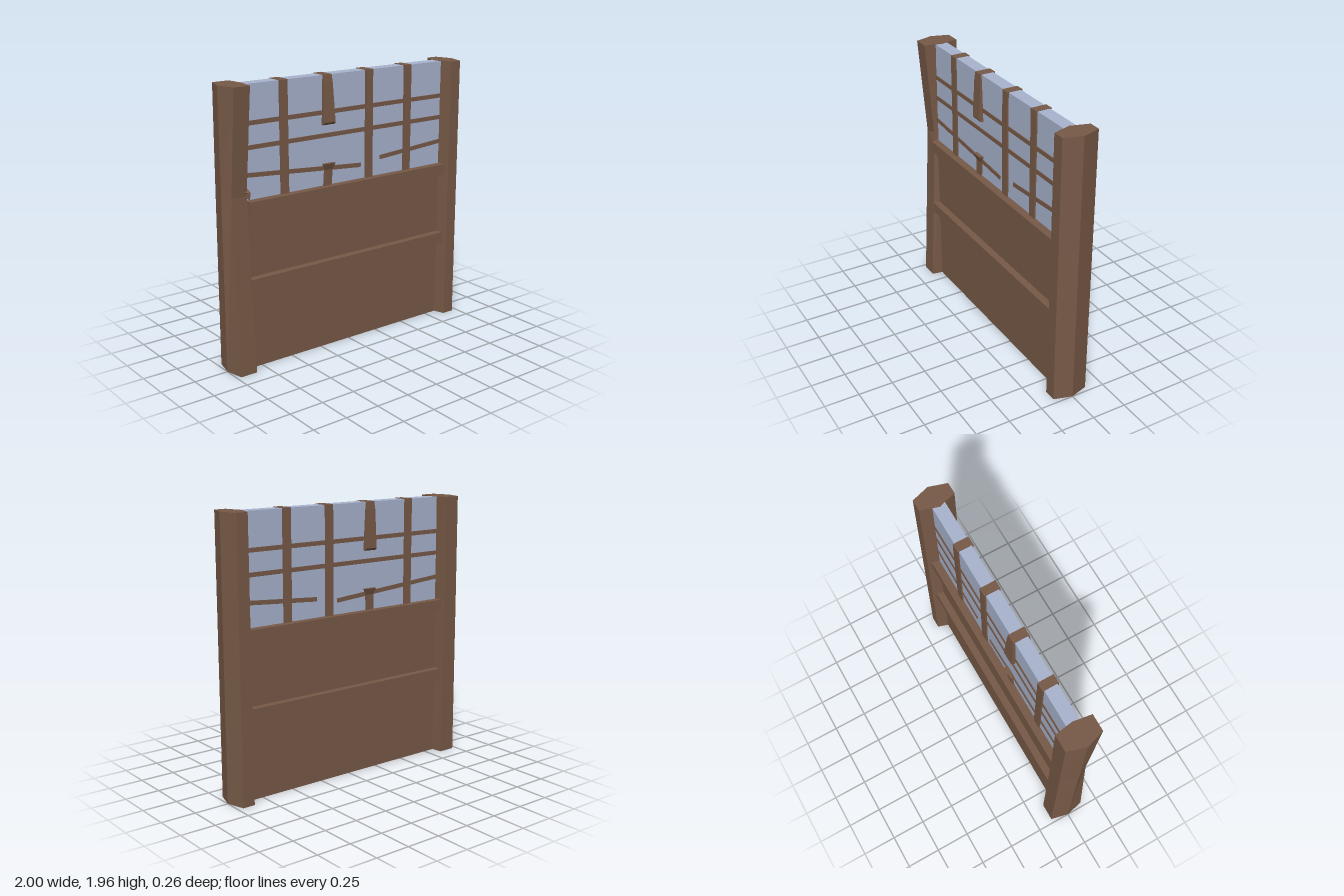
import * as THREE from 'three';

const wood = new THREE.MeshStandardMaterial({ color: 0x785a47, side: THREE.DoubleSide });
wood.name = 'brown wood';
const glass = new THREE.MeshStandardMaterial({ color: 0xa9b4cf });
glass.name = 'pale blue glass';

const TOP = 1.955;

// Joins rings of [x, y, z] points, bottom to top; caps the top and optionally the bottom.
function loft(rings, capBottom) {
  const pos = [];
  const tri = (...pts) => pts.forEach((p) => pos.push(...p));
  const n = rings[0].length;
  for (let r = 0; r + 1 < rings.length; r++) {
    const a = rings[r], b = rings[r + 1];
    for (let i = 0; i < n; i++) {
      const j = (i + 1) % n;
      tri(a[i], a[j], b[j]);
      tri(a[i], b[j], b[i]);
    }
  }
  const first = rings[0], last = rings[rings.length - 1];
  for (let i = 1; i + 1 < n; i++) {
    tri(last[0], last[i], last[i + 1]);
    if (capBottom) tri(first[0], first[i + 1], first[i]);
  }
  const g = new THREE.BufferGeometry();
  g.setAttribute('position', new THREE.Float32BufferAttribute(pos, 3));
  g.computeVertexNormals();
  return g;
}

// Six-sided post section, pointed on both sides in x.
const hexRing = (y, x0, x1, x2, x3, front = 0.13) => [
  [x0, y, 0], [x1, y, front], [x2, y, front], [x3, y, 0], [x2, y, -0.13], [x1, y, -0.13],
];

// Rectangular section.
const rectRing = (y, x0, x1, z) => [[x0, y, z], [x1, y, z], [x1, y, -z], [x0, y, -z]];

export function createModel() {
  const model = new THREE.Group();
  const add = (name, geometry, material = wood) => {
    const mesh = new THREE.Mesh(geometry, material);
    mesh.name = name;
    model.add(mesh);
    return mesh;
  };
  const box = (name, x0, x1, y0, y1, z, material) => {
    const m = add(name, new THREE.BoxGeometry(x1 - x0, y1 - y0, z * 2), material);
    m.position.set((x0 + x1) / 2, (y0 + y1) / 2, 0);
    return m;
  };

  // Posts, hollow below; one is dented at the front
  add('leftPost', loft([
    hexRing(0, 0.83, 0.87, 0.96, 1),
    hexRing(TOP, 0.835, 0.875, 0.96, 1),
  ]));
  add('dentedRightPost', loft([
    hexRing(0, -1, -0.97, -0.845, -0.825),
    hexRing(1.23, -1, -0.965, -0.85, -0.825, 0.07),
    hexRing(TOP, -1, -0.96, -0.84, -0.82),
  ]));

  // Splinter sticking out of the dent
  add('splinter', loft([
    [[-0.87, 1.24, 0.05], [-0.845, 1.2, 0.1], [-0.83, 1.21, 0.05]],
    [[-0.885, 1.25, 0.06], [-0.845, 1.26, 0.11], [-0.83, 1.27, 0.05]],
  ], true));

  // Lower wall with its two rails
  add('lowerPanel', loft([rectRing(0, -0.84, 0.86, 0.05), rectRing(1.15, -0.84, 0.86, 0.05)]));
  box('middleRail', -0.84, 0.865, 0.577, 0.657, 0.102);
  box('topRail', -0.84, 0.865, 1.11, 1.19, 0.102);

  // Window
  box('windowPane', -0.83, 0.85, 1.18, TOP - 0.003, 0.046, glass);
  for (const x of [-0.54, 0.175, 0.525]) box('windowUpright', x - 0.032, x + 0.032, 1.18, TOP, 0.057);
  for (const y of [1.54, 1.7]) box('windowCrossbar', -0.83, 0.86, y - 0.015, y + 0.015, 0.052);

  // Broken upright, splayed at the break
  add('brokenUprightTop', loft([
    rectRing(1.615, -0.23, -0.13, 0.065),
    rectRing(1.63, -0.228, -0.132, 0.075),
    rectRing(1.9, -0.224, -0.146, 0.062),
    rectRing(TOP, -0.218, -0.152, 0.057),
  ], true));
  add('brokenUprightBottom', loft([
    rectRing(1.18, -0.22, -0.155, 0.057),
    rectRing(1.3, -0.212, -0.148, 0.06),
    rectRing(1.345, -0.226, -0.132, 0.075),
  ], true));

  // Broken crossbar, sagging towards the gap
  for (const [x0, y0, x1, y1] of [[-0.84, 1.36, 0.105, 1.288], [0.28, 1.318, 0.86, 1.36]]) {
    const len = Math.hypot(x1 - x0, y1 - y0);
    const bar = box('brokenCrossbar', -len / 2, len / 2, -0.015, 0.015, 0.052);
    bar.position.set((x0 + x1) / 2, (y0 + y1) / 2, 0);
    bar.rotation.z = Math.atan2(y1 - y0, x1 - x0);
  }
  return model;
}
